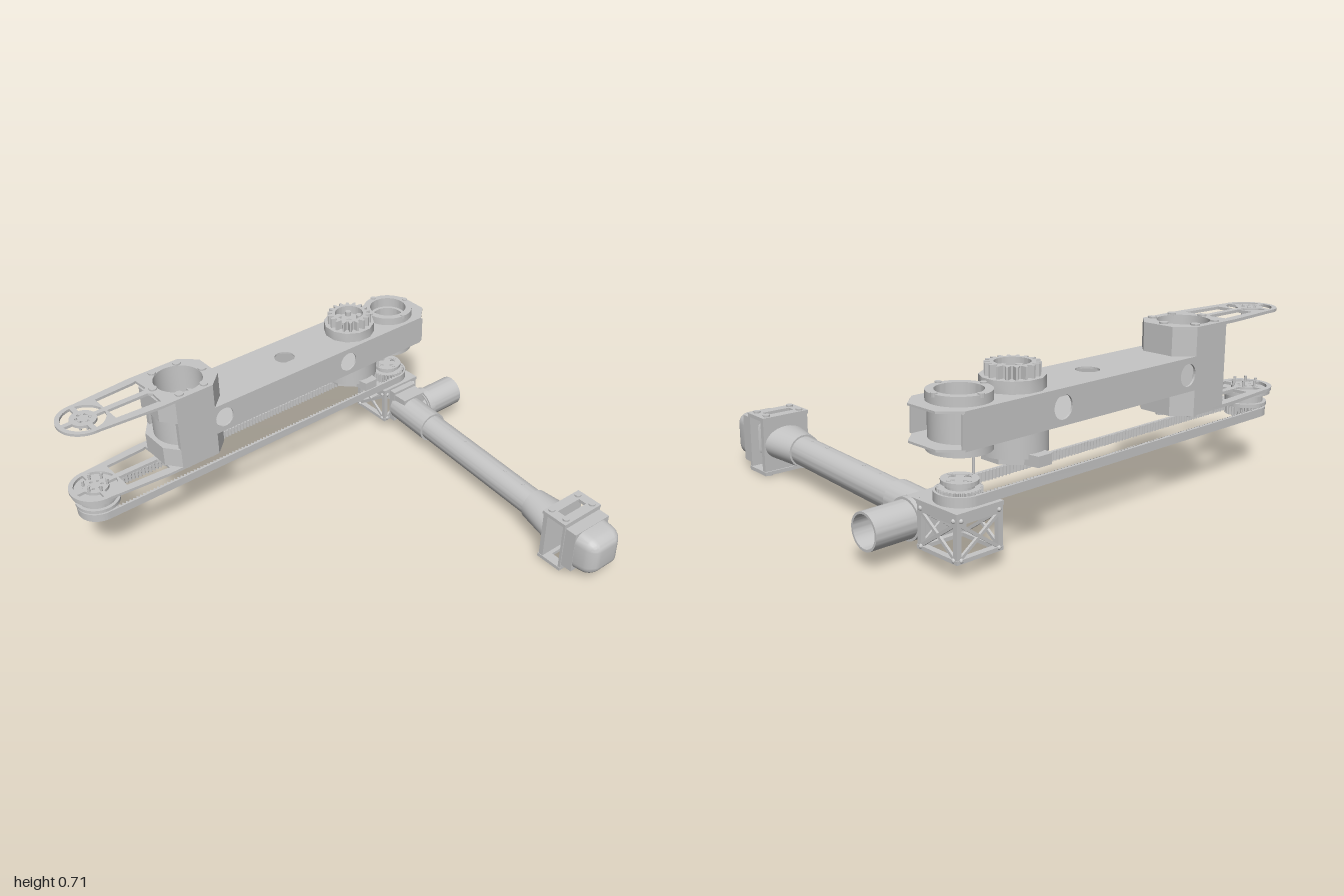
import * as THREE from 'three';
import { toCreasedNormals } from 'three/addons/utils/BufferGeometryUtils.js';
import { RoundedBoxGeometry } from 'three/addons/geometries/RoundedBoxGeometry.js';

const grey = new THREE.MeshStandardMaterial({ color: 0xc6c6c6 });
grey.name = 'light machined grey';
const ZC = -0.685, X_ROOT = -0.887, X_BORE = -0.44, X_MOTOR = 0.495, X_ELBOW = 0.737;

function add(parent, name, geo, x = 0, y = 0, z = 0) {
  const mesh = new THREE.Mesh(toCreasedNormals(geo, 0.6), grey);
  mesh.name = name;
  mesh.position.set(x, y, z);
  parent.add(mesh);
  return mesh;
}
function group(parent, name, build) {
  const g = new THREE.Group();
  g.name = name;
  parent.add(g);
  build(g);
  return g;
}
const box = (p, name, w, h, d, x, y, z) => add(p, name, new THREE.BoxGeometry(w, h, d), x, y, z);
const poly = (pts, C = THREE.Shape) => new C(pts.map(([x, y]) => new THREE.Vector2(x, y)));
const rect = (w, d, C) => poly([[-w, -d], [w, -d], [w, d], [-w, d]], C);
const circle = (x, y, r, C = THREE.Shape) => new C().absarc(x, y, r, 0, Math.PI * 2, false);
const hole = (x, y, r) => circle(x, y, r, THREE.Path);
const around = (n, r, phase, fn) => {
  for (let i = 0; i < n; i++) {
    const a = phase + i / n * Math.PI * 2;
    fn(r * Math.cos(a), r * Math.sin(a));
  }
};
const ngon = (n, r, phase) => { const pts = []; around(n, r, phase, (x, y) => pts.push([x, y])); return poly(pts); };

// Extrusion of an (x, z) outline from y0 to y1
function slab(p, name, shape, holes, y0, y1, x = 0, z = 0) {
  shape.holes.push(...holes);
  const geo = new THREE.ExtrudeGeometry(shape, { depth: y1 - y0, bevelEnabled: false, curveSegments: 32 });
  geo.rotateX(Math.PI / 2);
  return add(p, name, geo, x, y1, z);
}
const ring = (p, name, ro, ri, y0, y1, x = 0, z = 0) =>
  slab(p, name, circle(0, 0, ro), ri ? [hole(0, 0, ri)] : [], y0, y1, x, z);
const stud = (p, name, r, y0, y1, x, z) =>
  add(p, name, new THREE.CylinderGeometry(r, r, y1 - y0, 12), x, (y0 + y1) / 2, z);

// Gear outline with square teeth
function gearShape(n, r, depth) {
  const pts = [];
  for (let i = 0; i < n * 4; i++) {
    const a = (i + 0.5) / (n * 4) * Math.PI * 2, q = i % 4 < 2 ? r : r - depth;
    pts.push([q * Math.cos(a), q * Math.sin(a)]);
  }
  return poly(pts);
}

// Belt: smooth loop outside, toothed loop inside
function beltShape() {
  const r = 0.092, len = X_ELBOW - X_ROOT, outline = new THREE.Shape();
  outline.absarc(X_ELBOW, ZC, r, -Math.PI / 2, Math.PI / 2, false);
  outline.absarc(X_ROOT, ZC, r, Math.PI / 2, Math.PI * 1.5, false);
  const inner = [], n = 95;
  for (const s of [1, -1]) {
    const from = s > 0 ? X_ROOT : X_ELBOW, c = s > 0 ? X_ELBOW : X_ROOT;
    for (let i = 0; i < n * 4; i++) {
      const q = i % 4 < 2 ? 0.083 : 0.074;
      inner.push([from + s * len * (i + (i % 2 ? 0.4 : 0.6)) / (n * 4), ZC - s * q]);
    }
    for (let i = 0; i <= 24; i++) {
      const a = -s * Math.PI / 2 + i / 24 * Math.PI;
      inner.push([c + 0.083 * Math.cos(a), ZC + 0.083 * Math.sin(a)]);
    }
  }
  outline.holes.push(poly(inner, THREE.Path));
  return outline;
}

// Slotted arm plate with a spoked round end
function armPlate(p, name, y0, y1) {
  const s = new THREE.Shape();
  s.moveTo(-0.285, ZC - 0.07).lineTo(-0.285, ZC + 0.07).lineTo(-0.355, ZC + 0.135).lineTo(-0.6, ZC + 0.135);
  s.absarc(X_ROOT, ZC, 0.113, Math.PI * 0.47, Math.PI * 1.53, false);
  s.lineTo(-0.6, ZC - 0.135).lineTo(-0.355, ZC - 0.135);
  const holes = [hole(X_BORE, ZC, 0.105)];
  for (const m of [1, -1]) holes.push(poly([[-0.785, ZC + m * 0.014], [-0.595, ZC + m * 0.014], [-0.58, ZC + m * 0.03],
    [-0.585, ZC + m * 0.1], [-0.6, ZC + m * 0.095], [-0.785, ZC + m * 0.085]], THREE.Path));
  for (let i = 0; i < 4; i++) {
    const a = i * Math.PI / 2, k = new THREE.Path();
    k.absarc(X_ROOT, ZC, 0.093, a + 0.12, a + 1.45, false);
    k.absarc(X_ROOT, ZC, 0.056, a + 1.37, a + 0.2, true);
    holes.push(k);
  }
  around(6, 0.028, 0.3, (x, z) => holes.push(hole(X_ROOT + x, ZC + z, 0.007)));
  slab(p, name, s, holes, y0, y1);
}

function upperArm(g) {
  // Hollow beam
  const X0 = -0.365, X1 = 0.84;
  for (const [y0, y1] of [[0.455, 0.463], [0.582, 0.59]])
    slab(g, 'beamSkin', poly([[X0, ZC - 0.135], [X1 - 0.01, ZC - 0.135], [0.9, ZC - 0.07], [0.9, ZC + 0.07], [X1 - 0.01, ZC + 0.135],
      [X0, ZC + 0.135]]), [hole(0.115, ZC, 0.046), hole(X_ELBOW, ZC, 0.085), hole(X_MOTOR, ZC, 0.06)], y0, y1);
  for (const z of [ZC - 0.135, ZC + 0.127]) {
    const wall = poly([[X0, 0.463], [X1, 0.463], [X1, 0.582], [X0, 0.582]]);
    wall.holes.push(hole(-0.31, 0.5225, 0.045), hole(0.38, 0.5225, 0.045));
    add(g, 'beamWall', new THREE.ExtrudeGeometry(wall, { depth: 0.008, bevelEnabled: false, curveSegments: 24 }), 0, 0, z);
  }

  // Shoulder block, notched around the beam
  for (const [y0, y1] of [[0.365, 0.455], [0.59, 0.693]])
    slab(g, 'shoulderBlock', poly([[-0.59, ZC - 0.07], [-0.54, ZC - 0.135], [-0.355, ZC - 0.135], [-0.285, ZC - 0.07],
      [-0.285, ZC + 0.07], [-0.355, ZC + 0.135], [-0.54, ZC + 0.135], [-0.59, ZC + 0.07]]), [hole(X_BORE, ZC, 0.105)], y0, y1);
  for (const m of [1, -1])
    box(g, 'shoulderSide', 0.175, 0.135, 0.02, -0.4525, 0.5225, ZC + m * 0.125);
  ring(g, 'shoulderBore', 0.13, 0.105, 0.455, 0.59, X_BORE, ZC);
  armPlate(g, 'upperPlate', 0.693, 0.705);
  armPlate(g, 'lowerPlate', 0.352, 0.365);
  around(6, 0.122, 0, (x, z) => {
    stud(g, 'shoulderBolt', 0.018, 0.7, 0.712, X_BORE + x, ZC + z);
    stud(g, 'shoulderBolt', 0.018, 0.34, 0.355, X_BORE + x, ZC + z);
  });

  // Motor through the beam
  slab(g, 'motorCollar', ngon(12, 0.118, Math.PI / 12), [hole(0, 0, 0.07)], 0.59, 0.635, X_MOTOR, ZC);
  slab(g, 'motorGear', gearShape(18, 0.1, 0.02), [hole(0, 0, 0.065)], 0.635, 0.68, X_MOTOR, ZC);
  ring(g, 'motorRotor', 0.07, 0.015, 0.6, 0.64, X_MOTOR, ZC);
  around(5, 0.05, 0.3, (x, z) => stud(g, 'motorBolt', 0.014, 0.635, 0.66, X_MOTOR + x, ZC + z));
  ring(g, 'motorHousing', 0.128, 0, 0.365, 0.455, X_MOTOR, ZC);
  slab(g, 'motorBase', ngon(8, 0.115, Math.PI / 8), [hole(0, 0, 0.05)], 0.342, 0.365, X_MOTOR, ZC);
  for (const m of [1, -1])
    slab(g, 'motorTab', poly([[-0.045, m * 0.09], [0.045, m * 0.09], [0.033, m * 0.163], [-0.033, m * 0.163]]), [], 0.342, 0.382, X_MOTOR, ZC);

  // Elbow bearing housing
  ring(g, 'bearingHousing', 0.108, 0.085, 0.43, 0.615, X_ELBOW, ZC);
  for (const y of [0.42, 0.59]) ring(g, 'bearingFlange', 0.115, 0.085, y, y + 0.035, X_ELBOW, ZC);
  ring(g, 'bearingRace', 0.087, 0.07, 0.5, 0.58, X_ELBOW, ZC);
  around(4, 0.108, 0, (x, z) => stud(g, 'bearingBolt', 0.012, 0.615, 0.63, X_ELBOW + x, ZC + z));
}

function beltDrive(g) {
  slab(g, 'belt', beltShape(), [], 0.24, 0.276);
  // Root pulley
  slab(g, 'rootPulley', gearShape(32, 0.078, 0.008), [hole(0, 0, 0.03)], 0.24, 0.29, X_ROOT, ZC);
  ring(g, 'rootPulleyFlange', 0.095, 0.03, 0.285, 0.3, X_ROOT, ZC);
  ring(g, 'rootPulleyHub', 0.08, 0.03, 0.3, 0.335, X_ROOT, ZC);
  ring(g, 'rootPulleyCap', 0.107, 0.02, 0.335, 0.352, X_ROOT, ZC);
  around(6, 0.05, Math.PI / 6, (x, z) => stud(g, 'rootPeg', 0.006, 0.34, 0.392, X_ROOT + x, ZC + z));
  around(6, 0.028, Math.PI / 6, (x, z) => stud(g, 'upperPeg', 0.005, 0.665, 0.708, X_ROOT + x, ZC + z));
  // Elbow pulley and its thin spindle
  slab(g, 'elbowPulley', gearShape(32, 0.08, 0.008), [hole(0, 0, 0.04)], 0.24, 0.285, X_ELBOW, ZC);
  ring(g, 'elbowPulleyHub', 0.052, 0.04, 0.285, 0.3, X_ELBOW, ZC);
  ring(g, 'elbowPulleyCap', 0.067, 0.04, 0.3, 0.315, X_ELBOW, ZC);
  for (const a of [0.78, -0.78]) box(g, 'elbowSpoke', 0.085, 0.012, 0.03, X_ELBOW, 0.307, ZC).rotation.y = a;
  around(4, 0.05, 0, (x, z) => stud(g, 'elbowBolt', 0.008, 0.312, 0.318, X_ELBOW + x, ZC + z));
  stud(g, 'spindle', 0.005, 0.3, 0.43, 0.675, ZC);
}

// Open truss box with the side stub
function elbow(g) {
  slab(g, 'trussTop', rect(0.105, 0.105), [hole(0, 0, 0.05)], 0.222, 0.238);
  slab(g, 'trussBottom', rect(0.105, 0.105), [rect(0.08, 0.08, THREE.Path)], 0.06, 0.075);
  for (let i = 0; i < 4; i++) {
    group(g, 'trussSide', side => {
      box(side, 'trussPost', 0.02, 0.15, 0.02, 0.093, 0.15, 0.093);
      box(side, 'trussRail', 0.19, 0.028, 0.012, 0, 0.21, 0.097);
      for (const m of [1, -1]) {
        box(side, 'trussBrace', 0.205, 0.012, 0.01, 0, 0.135, 0.097).rotation.z = m * 0.61;
        for (const y of [0.072, 0.21]) add(side, 'trussBolt', new THREE.SphereGeometry(0.009, 10, 6), m * 0.085, y, 0.102);
      }
    }).rotation.y = i * Math.PI / 2;
  }
  box(g, 'couplingPlate', 0.135, 0.165, 0.035, 0, 0.145, 0.118);
  box(g, 'couplingLug', 0.13, 0.05, 0.085, 0, 0.19, 0.165);
  for (const [name, ro, x, len] of [['sideStub', 0.071, 0.05, 0.213], ['sideCollar', 0.08, 0.055, 0.03]]) {
    const tube = ring(g, name, ro, 0.062, 0, len);
    tube.rotation.z = -Math.PI / 2;
    tube.position.set(x + len, 0.135, 0.192);
  }
}

// Tube from the elbow to the head
function forearm(g) {
  for (const [name, ro, ri, z0, z1] of [['armTube', 0.062, 0.055, 0.3, 1.12], ['armCoupling', 0.072, 0, 0.13, 0.375]]) {
    const tube = ring(g, name, ro, ri, 0, z1 - z0);
    tube.rotation.x = Math.PI / 2;
    tube.position.set(0, 0.135, z1);
  }
  for (const z of [0.5, 0.62, 0.9, 1.02, 1.12]) stud(g, 'tubeRivet', 0.007, 0.19, 0.198, 0, z);
  // Flared socket: round at the tube, wider at the bracket
  const flare = new THREE.CylinderGeometry(0.072, 0.07, 0.17, 32).rotateX(Math.PI / 2);
  const p = flare.attributes.position;
  for (let i = 0; i < p.count; i++) if (p.getZ(i) > 0) p.setX(i, p.getX(i) * 1.45);
  add(g, 'flaredSocket', flare, 0, 0.135, 1.18);
}

// Head and its bracket, open at the sides
function headUnit(g) {
  box(g, 'bracketBack', 0.215, 0.225, 0.022, 0, 0.135, 0.008);
  box(g, 'bracketFront', 0.215, 0.225, 0.012, 0, 0.135, 0.114);
  for (const y of [0.006, 0.243])
    slab(g, 'bracketPlate', rect(0.11, 0.064), [rect(0.065, 0.02, THREE.Path)], y, y + 0.016, 0, 0.056);
  for (const x of [-0.08, 0.08]) for (const z of [0.015, 0.095]) {
    stud(g, 'bracketBolt', 0.015, 0, 0.01, x, z);
    stud(g, 'bracketBolt', 0.015, 0.255, 0.267, x, z);
  }
  // Rounded head, narrower at the tip
  const shell = new RoundedBoxGeometry(0.204, 0.2, 0.17, 4, 0.05);
  const q = shell.attributes.position;
  for (let i = 0; i < q.count; i++) {
    const k = 1 - 0.18 * Math.max(0, q.getZ(i) / 0.085);
    q.setXY(i, q.getX(i) * k, q.getY(i) * k);
  }
  add(g, 'head', shell, 0, 0.137, 0.189);
  box(g, 'headBase', 0.204, 0.2, 0.06, 0, 0.137, 0.145);
}

export function createModel() {
  const root = new THREE.Group();
  root.name = 'roboticArm';
  group(root, 'upperArm', upperArm);
  group(root, 'beltDrive', beltDrive);
  const lower = group(root, 'lowerArm', g => {
    group(g, 'elbow', elbow);
    const fore = group(g, 'forearm', forearm);
    fore.rotation.y = -0.086;
    const head = group(fore, 'headUnit', headUnit);
    head.position.z = 1.26;
    head.rotation.y = 0.06;
  });
  lower.position.set(X_ELBOW, 0, ZC);
  return root;
}
